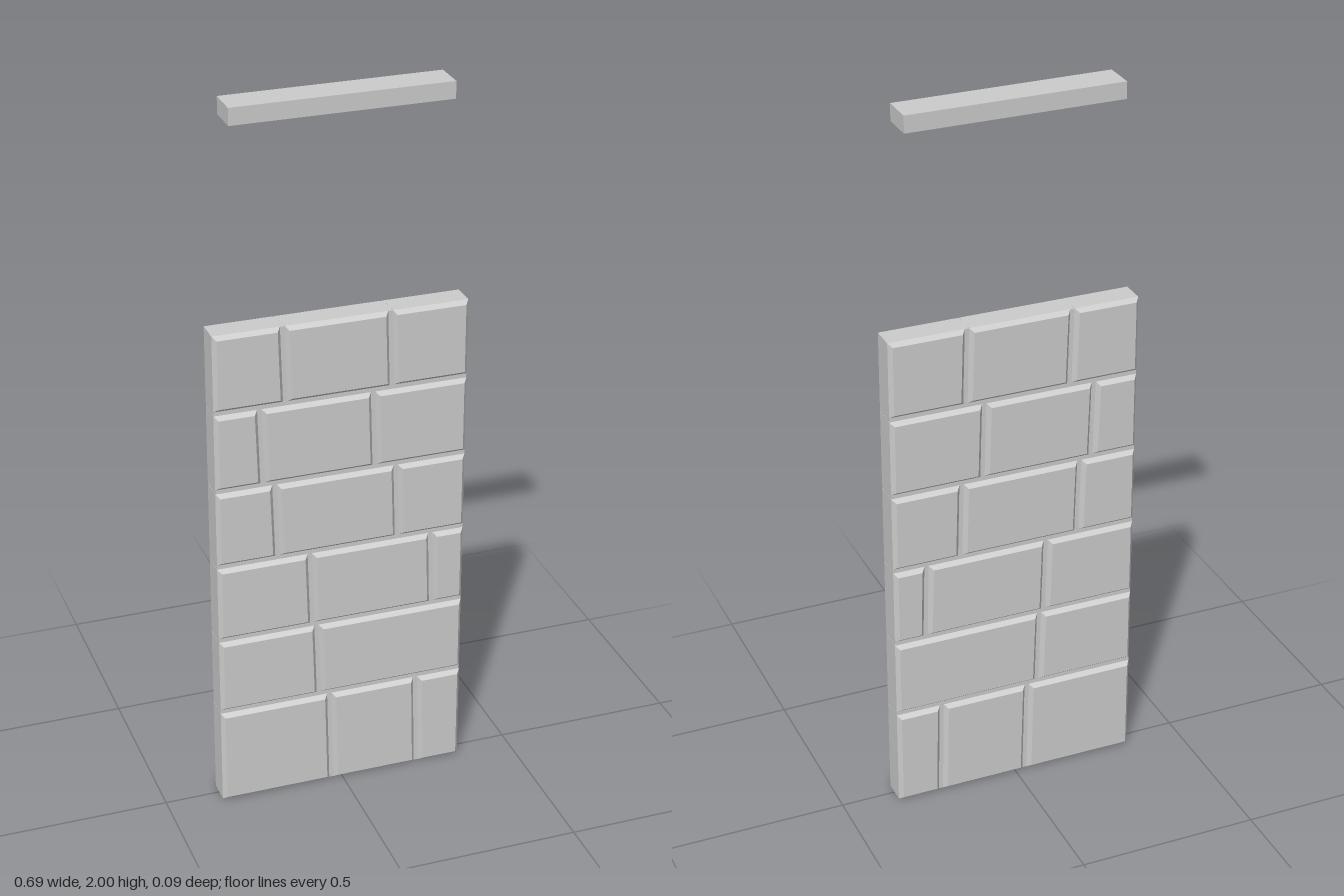
import * as THREE from 'three';

const HALF_W = 0.347, CORE_Z = 0.033, FACE_Z = 0.0455, GAP = 0.006, BEVEL = 0.01;

// Row boundaries, and the x of the joints in each row (bottom to top)
const levels = [0, 0.283, 0.508, 0.733, 0.957, 1.182, 1.4];
const joints = [
  [-0.033, 0.219],
  [-0.069],
  [-0.087, 0.256],
  [-0.183, 0.154],
  [-0.221, 0.089],
  [-0.157, 0.135],
];

const material = new THREE.MeshStandardMaterial({ color: 0xcccccc, flatShading: true });

function add(parent, name, geometry, y = 0) {
  const mesh = new THREE.Mesh(geometry, material);
  mesh.name = name;
  mesh.position.y = y;
  parent.add(mesh);
}

// Stone running through the wall: bevelled on both faces, with slightly leaning joints
function stoneGeometry(x0, x1, y0, y1, lean0, lean1) {
  const g = new THREE.BoxGeometry(1, 1, 1, 1, 1, 3);
  const p = g.attributes.position;
  for (let i = 0; i < p.count; i++) {
    const sx = Math.sign(p.getX(i)), sy = Math.sign(p.getY(i)), z = p.getZ(i);
    const outer = Math.abs(z) > 0.4;
    const inset = outer ? BEVEL : 0;
    const x = sx < 0 ? x0 + sy * lean0 : x1 + sy * lean1;
    p.setXYZ(i, x - sx * inset, (sy < 0 ? y0 : y1) - sy * inset,
      Math.sign(z) * (outer ? FACE_Z : CORE_Z));
  }
  g.computeVertexNormals();
  return g;
}

export function createModel() {
  const model = new THREE.Group();
  model.name = 'stoneWall';

  // Mortar core, seen at the bottom of the grooves and along the edges
  add(model, 'mortarCore', new THREE.BoxGeometry(2 * HALF_W - 0.001, 1.399, 2 * CORE_Z), 0.7);

  // Courses of stones
  const stones = new THREE.Group();
  stones.name = 'stones';
  model.add(stones);
  joints.forEach((row, r) => {
    const y0 = levels[r] + (r ? GAP : 0);
    const y1 = levels[r + 1] - (r < joints.length - 1 ? GAP : 0);
    const edges = [-HALF_W, ...row, HALF_W];
    const last = edges.length - 1;
    const lean = (i) => (i === 0 || i === last ? 0 : -0.003);
    for (let i = 0; i < last; i++) {
      const x0 = edges[i] + (i ? GAP : 0);
      const x1 = edges[i + 1] - (i + 1 < last ? GAP : 0);
      add(stones, 'stone', stoneGeometry(x0, x1, y0, y1, lean(i), lean(i + 1)));
    }
  });

  // Separate bar floating above the wall
  add(model, 'topBar', new THREE.BoxGeometry(0.59, 0.046, 2 * FACE_Z), 1.977);
  return model;
}
